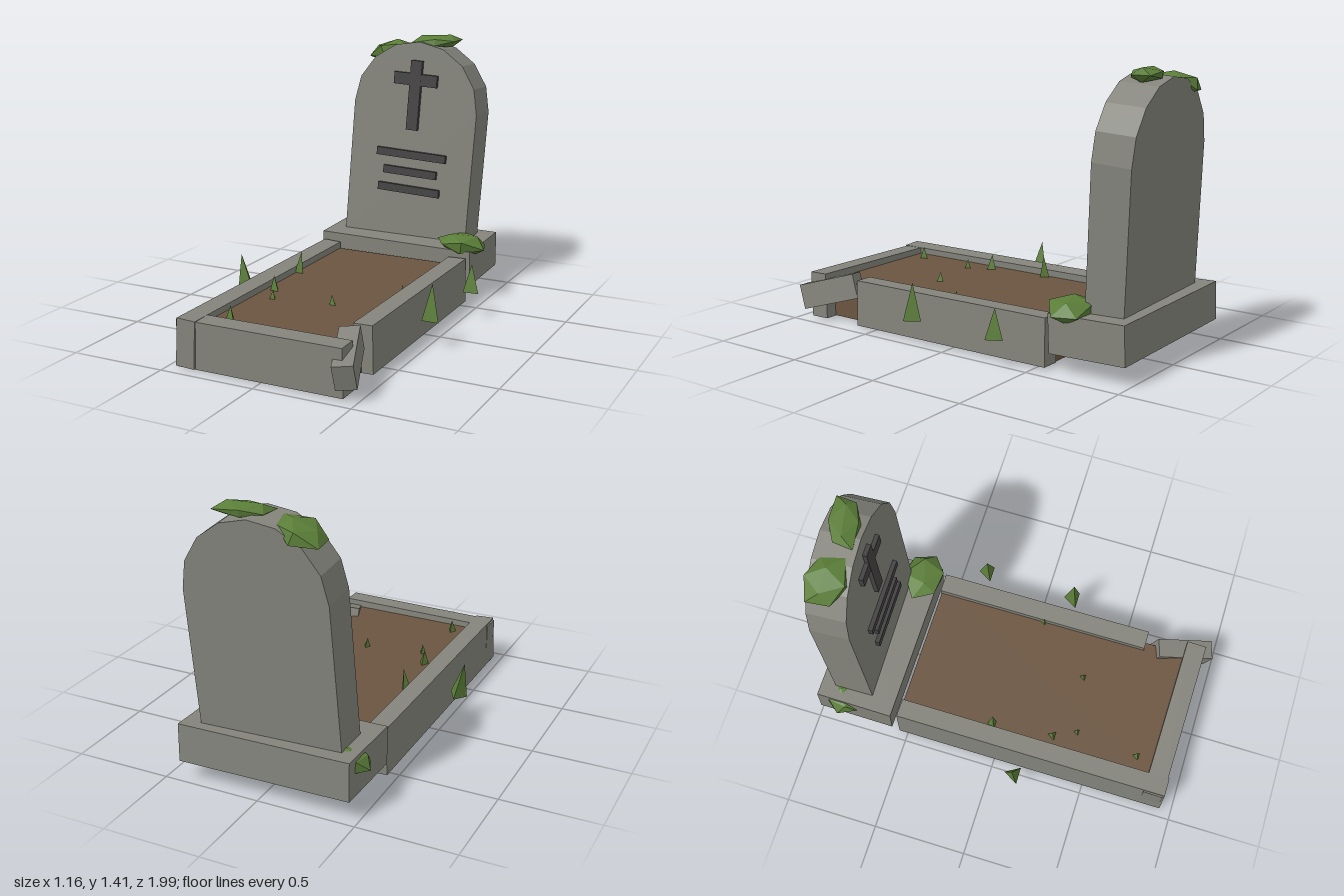
import * as THREE from 'three';

const mat = (color) => new THREE.MeshStandardMaterial({ color, flatShading: true });
const stone = mat(0x84847c), carved = mat(0x444242), earth = mat(0x6b5540), green = mat(0x5a7d38);

function add(parent, name, geometry, material, pos, rot = [0, 0, 0]) {
  const mesh = new THREE.Mesh(geometry, material);
  mesh.name = name;
  mesh.position.set(...pos);
  mesh.rotation.set(...rot);
  parent.add(mesh);
  return mesh;
}
const box = (parent, name, material, size, pos, rot) =>
  add(parent, name, new THREE.BoxGeometry(...size), material, pos, rot);

// Flattened, uneven low-poly lump
function mossGeometry(radii, seed) {
  const g = new THREE.IcosahedronGeometry(1, 0);
  const p = g.attributes.position;
  for (let i = 0; i < p.count; i++) {
    const v = new THREE.Vector3().fromBufferAttribute(p, i);
    const k = 1 + 0.14 * Math.sin(seed * 2.3 + v.x * 5 + v.y * 7 + v.z * 3);
    p.setXYZ(i, v.x * k * radii[0], v.y * k * radii[1], v.z * k * radii[2]);
  }
  g.computeVertexNormals();
  return g;
}

export function createModel() {
  const model = new THREE.Group();
  model.name = 'grave';

  // Grave bed: soil with its stone border
  box(model, 'soil', earth, [0.73, 0.2, 1.38], [0, 0.115, 0.145]);
  box(model, 'rightCurb', stone, [0.1, 0.24, 1.485], [-0.4, 0.132, 0.195], [0.003, 0, -0.05]);
  box(model, 'leftCurb', stone, [0.1, 0.24, 1.17], [0.37, 0.131, 0.035], [0.004, 0.004, 0.02]);
  box(model, 'frontCurb', stone, [0.88, 0.24, 0.105], [-0.012, 0.128, 0.88], [0.03, -0.014, 0.008]);
  box(model, 'brokenCurbPiece', stone, [0.1, 0.13, 0.31], [0.395, 0.16, 0.82], [0.28, 0.34, 0.02]);

  // Plinth under the headstone
  box(model, 'plinth', stone, [0.895, 0.195, 0.41], [-0.02, 0.199, -0.78], [0.03, 0, -0.012]);

  // Leaning headstone with a rounded top
  const head = new THREE.Group();
  head.name = 'headstone';
  head.position.set(-0.025, 0.3, -0.812);
  head.rotation.set(-0.06, 0.03, -0.048);
  model.add(head);
  const depth = 0.205, radius = 0.363, shoulder = 0.715;
  const outline = new THREE.Shape();
  outline.moveTo(-radius, -0.04);
  outline.lineTo(radius, -0.04);
  for (let i = 0; i <= 8; i++) {
    const a = (i / 8) * Math.PI;
    outline.lineTo(radius * Math.cos(a), shoulder + radius * Math.sin(a));
  }
  const slab = new THREE.ExtrudeGeometry(outline, { depth, bevelEnabled: false });
  add(head, 'slab', slab, stone, [0, 0, -depth / 2]);

  // Raised cross and inscription bars
  const face = depth / 2 + 0.005;
  box(head, 'crossUpright', carved, [0.066, 0.386, 0.035], [0, 0.783, face]);
  box(head, 'crossArm', carved, [0.253, 0.066, 0.034], [0, 0.871, face]);
  [[0.41, 0.45], [0.315, 0.352], [0.365, 0.252]].forEach(([w, y]) =>
    box(head, 'inscriptionBar', carved, [w, 0.043, 0.035], [0.008, y, face]));

  // Moss clumps: radii, position, rotation
  [
    [[0.135, 0.055, 0.115], [-0.195, 1.318, -0.885], [0, 0, 0.35]],
    [[0.14, 0.036, 0.095], [0.09, 1.378, -0.88], [0, 0.2, 0.05]],
    [[0.145, 0.063, 0.115], [0.352, 0.302, -0.65], [0, 0.3, -0.1]],
    [[0.1, 0.055, 0.1], [-0.425, 0.256, -0.855], [0, 0.5, 0.4]],
  ].forEach(([r, pos, rot], i) => add(model, 'moss', mossGeometry(r, i + 1), green, pos, rot));

  // Three-sided grass tufts: x, base y, z, radius, height, sideways lean
  [
    [-0.54, 0.145, 0.14, 0.052, 0.19, 0.19],
    [0.522, 0.145, 0.16, 0.052, 0.19, 0],
    [0.535, 0.145, -0.345, 0.05, 0.15, 0.03],
    [-0.33, 0.2, -0.045, 0.032, 0.13, -0.1],
    [-0.29, 0.2, 0.28, 0.032, 0.095, 0.08],
    [-0.235, 0.2, 0.4, 0.023, 0.065, 0],
    [0.075, 0.2, 0.347, 0.025, 0.065, 0.1],
    [0.32, 0.2, 0.05, 0.025, 0.065, 0.1],
    [-0.27, 0.2, 0.74, 0.028, 0.08, 0],
  ].forEach(([x, y, z, r, h, lean]) => {
    const g = new THREE.ConeGeometry(r, h, 3).rotateY(Math.PI).translate(0, h / 2, 0);
    add(model, 'grassTuft', g, green, [x, y, z], [0, 0, lean]);
  });

  return model;
}
